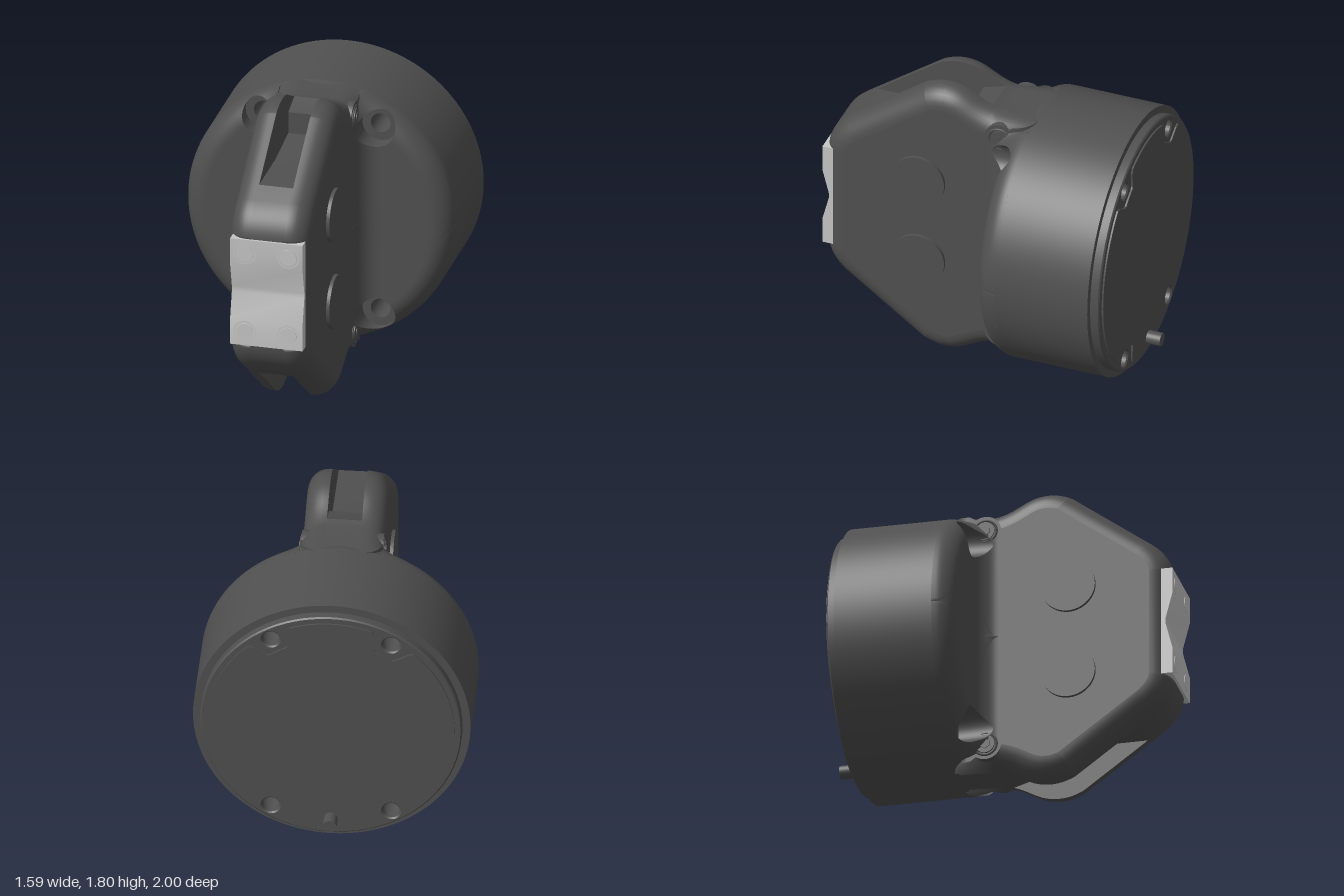
import * as THREE from 'three';
import { mergeGeometries, toCreasedNormals } from 'three/addons/utils/BufferGeometryUtils.js';

const CY = 0.9, R = 0.795, ROUND = 0.13, FRONT = -0.15, HALF = 0.235;
const HX = 0.345, HY = 0.58, BORE = 0.107, HOLE = 0.058;
const V = (x, y) => new THREE.Vector2(x, y);

// Surface from rows of points; at(k, i) gives [x, y, z]
function grid(rows, cols, at) {
  const pos = [], index = [];
  for (let k = 0; k <= rows; k++) for (let i = 0; i <= cols; i++) pos.push(...at(k, i));
  const w = cols + 1;
  for (let k = 0; k < rows; k++) for (let i = 0; i < cols; i++) {
    const a = k * w + i;
    index.push(a, a + 1, a + w, a + 1, a + w + 1, a + w);
  }
  const g = new THREE.BufferGeometry();
  g.setAttribute('position', new THREE.Float32BufferAttribute(pos, 3));
  g.setIndex(index);
  g.computeVertexNormals();
  return g;
}

function mirrored(geo, sx, sy) {
  const g = geo.clone().scale(sx, sy, 1);
  if (sx * sy < 0) g.index.array.reverse();
  return g;
}

// Height of the drum front: rounded rim plus fillet up to the fin
function frontZ(x, y) {
  const r = Math.hypot(x, y), e = Math.min(Math.max(r - (R - ROUND), 0), ROUND);
  const d = Math.min(Math.max(HALF + ROUND - Math.abs(x), 0), ROUND);
  const fillet = ROUND - Math.sqrt(ROUND * ROUND - d * d);
  const fade = Math.min(Math.max((R - r) / 0.1, 0), 1);
  return FRONT - ROUND + Math.sqrt(ROUND * ROUND - e * e) + fillet * fade;
}

// One quarter of the drum front, with its counterbore and through hole
function quarterFront() {
  const top = Math.sqrt(R * R - HALF * HALF), a0 = Math.atan2(top, HALF), edge = [];
  for (let i = 0; i < 40; i++) edge.push([HALF, top * i / 40]);
  for (let i = 0; i < 64; i++) edge.push([R * Math.cos(a0 * (1 - i / 64)), R * Math.sin(a0 * (1 - i / 64))]);
  for (let i = 0; i <= 36; i++) edge.push([R + (HALF - R) * i / 36, 0]);
  const n = edge.length - 1;
  const rim = (i, r) => {
    const dx = edge[i][0] - HX, dy = edge[i][1] - HY, l = Math.hypot(dx, dy);
    return [HX + dx / l * r, HY + dy / l * r];
  };
  const floor = -0.25;
  return mergeGeometries([
    grid(24, n, (k, i) => {
      const t = 1 - Math.pow(1 - k / 24, 1.5), [hx, hy] = rim(i, BORE);
      const x = hx + (edge[i][0] - hx) * t, y = hy + (edge[i][1] - hy) * t;
      return [x, y, frontZ(x, y)];
    }),
    grid(1, n, (k, i) => { const p = rim(i, BORE); return [...p, k ? frontZ(...p) : floor]; }),
    grid(1, n, (k, i) => [...rim(i, k ? BORE : HOLE), floor]),
    grid(1, n, (k, i) => [...rim(i, HOLE), k ? floor : -0.905]),
  ]);
}

// Fin outline as (z, y): upper half from back to front, then mirrored
function finHalf() {
  const s = new THREE.Path();
  s.moveTo(-0.3, 1.685).lineTo(-0.06, 1.69);
  s.bezierCurveTo(0.08, 1.71, 0.12, 1.8, 0.26, 1.8);
  s.quadraticCurveTo(0.33, 1.8, 0.4, 1.765);
  s.lineTo(0.86, 1.43);
  s.quadraticCurveTo(0.975, 1.345, 0.985, 1.23);
  s.lineTo(0.985, 1.2);
  return s.getPoints(14);
}
const closeHalf = half => [...half, ...half.map(p => V(p.x, 2 * CY - p.y)).reverse()];
// Keeps the fin behind the mounting plate
const seat = p => V(Math.abs(p.y - CY) < 0.31 ? Math.min(p.x, 0.945) : p.x, p.y);

function inset(pts, d) {
  const n = pts.length;
  return pts.map((p, i) => {
    const a = pts[(i + n - 1) % n], b = pts[(i + 1) % n];
    const t = b.clone().sub(a).normalize();
    return seat(V(p.x + t.y * d, p.y - t.x * d));
  });
}

// Rounded cheek on the +x side
function cheek(pts) {
  const B = 0.12, N = 8, rows = [[0.1, inset(pts, 0)]];
  for (let k = 0; k <= N; k++) {
    const a = k / N * Math.PI / 2;
    rows.push([HALF - B + B * Math.sin(a), inset(pts, B * (1 - Math.cos(a)))]);
  }
  const n = pts.length;
  const wall = grid(rows.length - 1, n, (k, i) => [rows[k][0], rows[k][1][i % n].y, rows[k][1][i % n].x]);
  const outer = new THREE.ShapeGeometry(new THREE.Shape(rows[N + 1][1].map(p => V(-p.x, p.y))));
  outer.rotateY(Math.PI / 2).translate(HALF, 0, 0);
  const inner = new THREE.ShapeGeometry(new THREE.Shape(rows[0][1]));
  inner.rotateY(-Math.PI / 2).translate(0.1, 0, 0);
  [outer, inner].forEach(g => g.deleteAttribute('uv'));
  return mergeGeometries([wall, outer, inner]);
}

// Extrudes a (z, y) outline across x, centred
function across(pts, width) {
  const g = new THREE.ExtrudeGeometry(new THREE.Shape(pts), { depth: width, bevelEnabled: false });
  return toCreasedNormals(g.translate(0, 0, -width / 2).rotateY(-Math.PI / 2), 0.5);
}

export function createModel() {
  const root = new THREE.Group();
  const dark = new THREE.MeshStandardMaterial({ color: 0x505050 });
  const metal = new THREE.MeshStandardMaterial({ color: 0xc6c6c6 });
  const add = (name, geo, mat, x = 0, y = 0, z = 0) => {
    const m = new THREE.Mesh(geo, mat);
    m.name = name;
    m.position.set(x, y, z);
    root.add(m);
    return m;
  };
  const rod = (r, len, seg = 32, open = false) =>
    new THREE.CylinderGeometry(r, r, len, seg, 1, open).rotateX(Math.PI / 2);

  // Drum
  const quarter = quarterFront();
  for (const sx of [1, -1]) for (const sy of [1, -1]) add('drumFront', mirrored(quarter, sx, sy), dark, 0, CY);
  const strip = grid(10, 20, (k, i) => {
    const x = HALF * (i / 10 - 1), t = Math.sqrt(R * R - x * x), y = 0.5 + (t - 0.5) * k / 10;
    return [x, y, frontZ(x, y)];
  });
  for (const sy of [1, -1]) add('drumFrontStrip', mirrored(strip, 1, sy), dark, 0, CY);
  add('drumSide', rod(R, 0.57, 128, true), dark, 0, CY, -0.565);
  add('drumBackRim', new THREE.RingGeometry(0.74, R, 128).rotateY(Math.PI), dark, 0, CY, -0.85);

  // Back plate with through holes
  const disc = new THREE.Shape().absarc(0, 0, 0.742, 0, Math.PI * 2);
  for (const sx of [1, -1]) for (const sy of [1, -1])
    disc.holes.push(new THREE.Path().absarc(sx * HX, sy * HY, HOLE, 0, Math.PI * 2, true));
  const plate = new THREE.ExtrudeGeometry(disc, {
    depth: 0.047, bevelThickness: 0.008, bevelSize: 0.008, bevelSegments: 1, curveSegments: 64 });
  add('backPlate', toCreasedNormals(plate, 0.5), dark, 0, CY, -0.897);

  // Raised cover, notched around the holes
  const outline = [], ha = Math.atan2(HY, HX);
  for (let i = 0; i < 240; i++) {
    const a = i / 240 * Math.PI * 2;
    const fold = Math.atan2(Math.abs(Math.sin(a)), Math.abs(Math.cos(a)));
    const t = Math.min(Math.max((Math.abs(fold - ha) - 0.1) / 0.1, 0), 1);
    const r = 0.59 + 0.12 * t * t * (3 - 2 * t);
    outline.push(V(r * Math.cos(a), r * Math.sin(a)));
  }
  const cover = new THREE.ExtrudeGeometry(new THREE.Shape(outline), { depth: 0.012, bevelEnabled: false });
  add('backCover', cover, dark, 0, CY, -0.915);
  add('locatingPin', rod(0.04, 0.1), dark, 0, 0.255, -0.95);

  // Fin: two rounded cheeks around a slotted core
  const half = finHalf(), side = cheek(closeHalf(half));
  add('leftCheek', side, dark);
  add('rightCheek', mirrored(side, -1, 1), dark);
  const slot = [V(0, 1.7), V(0.13, 1.66), V(0.13, 1.53), V(0.41, 1.49), V(0.78, 1.488)];
  const core = [...half.filter(p => p.x < 0), ...slot, ...half.filter(p => p.x > 0.78)].map(seat);
  add('slottedCore', across(closeHalf(core), 0.2), dark);

  for (const s of [1, -1]) for (const v of [1, -1]) {
    // Pivot caps and clamp screws on the fin sides
    const turn = g => g.rotateY(Math.PI / 2);
    add('pivotCap', turn(rod(0.158, 0.05, 48)), dark, s * 0.23, CY + v * 0.27, 0.395);
    const y = CY + v * 0.67, z = -0.095;
    add('screwBoss', turn(rod(0.093, 0.08)), dark, s * 0.195, y, z);
    add('screwRim', turn(new THREE.TorusGeometry(0.066, 0.008, 6, 32)), dark, s * 0.235, y, z);
    add('clampScrew', turn(rod(0.055, 0.08)), dark, s * 0.206, y, z);
    add('clampScrewSocket', turn(rod(0.03, 0.012, 6)), dark, s * 0.245, y, z);
  }

  // Mounting plate with a shallow V groove
  const vee = [V(0.915, 0.575), V(0.998, 0.575), V(0.998, 0.735), V(0.958, 0.89),
    V(0.958, 0.92), V(0.998, 1.075), V(0.998, 1.235), V(0.915, 1.235)];
  add('mountingPlate', across(vee, 0.428), metal);
  for (const x of [0.128, -0.128]) for (const y of [1.15, 0.66]) {
    add('plateScrewRim', new THREE.RingGeometry(0.058, 0.067, 32), metal, x, y, 0.9995);
    add('plateScrew', rod(0.05, 0.02), metal, x, y, 0.991);
    add('plateScrewSocket', new THREE.RingGeometry(0.012, 0.024, 6), metal, x, y, 1.002);
  }
  return root;
}
